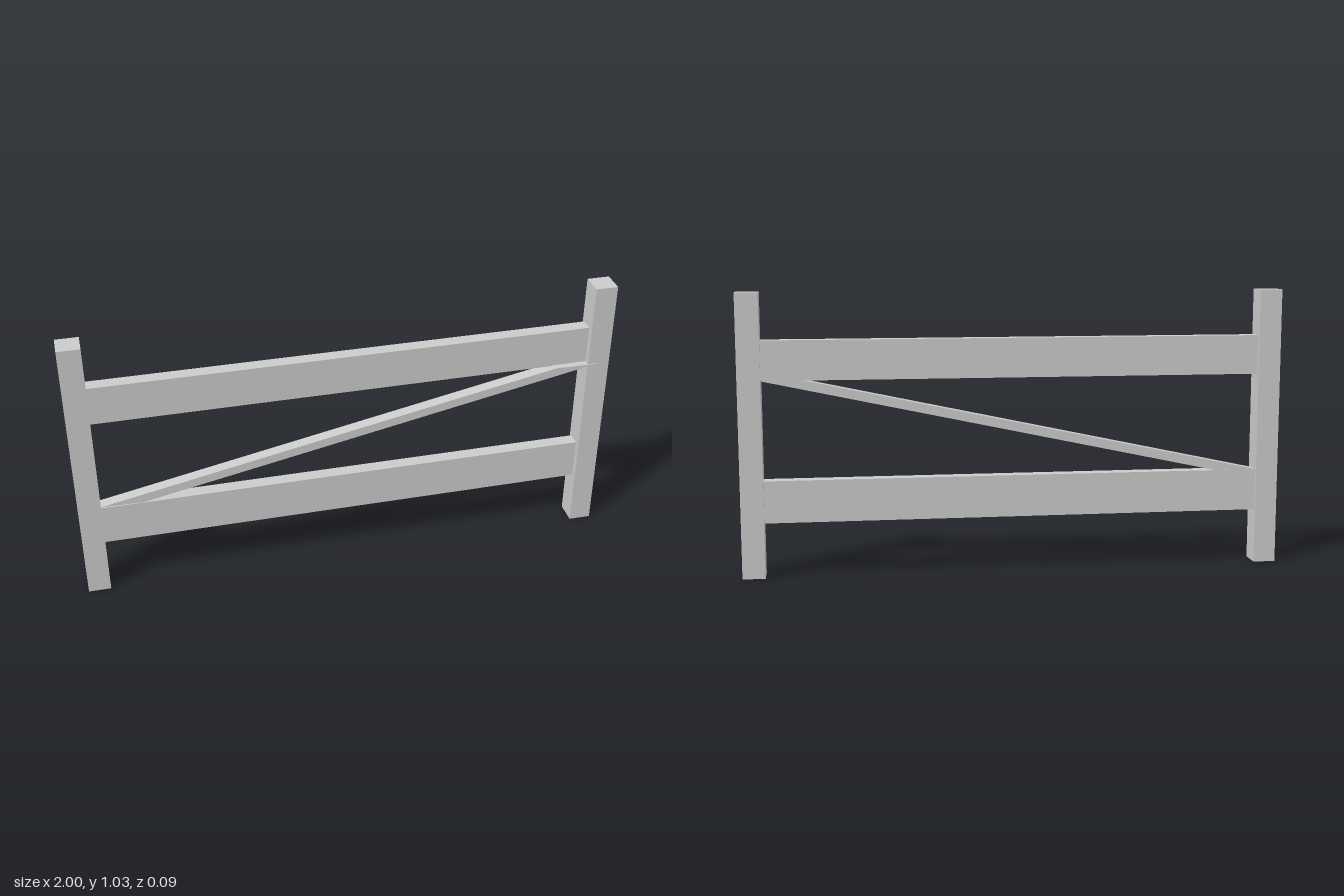
import * as THREE from 'three';

export function createModel() {
  const group = new THREE.Group();
  const material = new THREE.MeshStandardMaterial({ color: 0xcccccc, flatShading: true });

  const add = (name, geometry) => {
    const mesh = new THREE.Mesh(geometry, material);
    mesh.name = name;
    group.add(mesh);
    return mesh;
  };

  // Square posts at both ends
  for (const [name, side] of [['leftPost', 1], ['rightPost', -1]]) {
    add(name, new THREE.BoxGeometry(0.083, 1.035, 0.086)).position.set(side * 0.9585, 0.5175, -0.002);
  }

  // Horizontal rails between the posts
  for (const [name, bottom, top] of [['lowerRail', 0.202, 0.357], ['upperRail', 0.72, 0.865]]) {
    add(name, new THREE.BoxGeometry(1.84, top - bottom, 0.05)).position.set(0, (bottom + top) / 2, -0.008);
  }

  // Diagonal brace, cut level at both ends and turned slightly towards the front
  const outline = new THREE.Shape([
    new THREE.Vector2(-0.934, 0.354),
    new THREE.Vector2(-0.774, 0.354),
    new THREE.Vector2(0.952, 0.723),
    new THREE.Vector2(0.794, 0.723),
  ]);
  const brace = add('diagonalBrace', new THREE.ExtrudeGeometry(outline, { depth: 0.045, bevelEnabled: false }));
  brace.position.z = -0.017;
  brace.rotation.y = -0.0176;

  return group;
}
